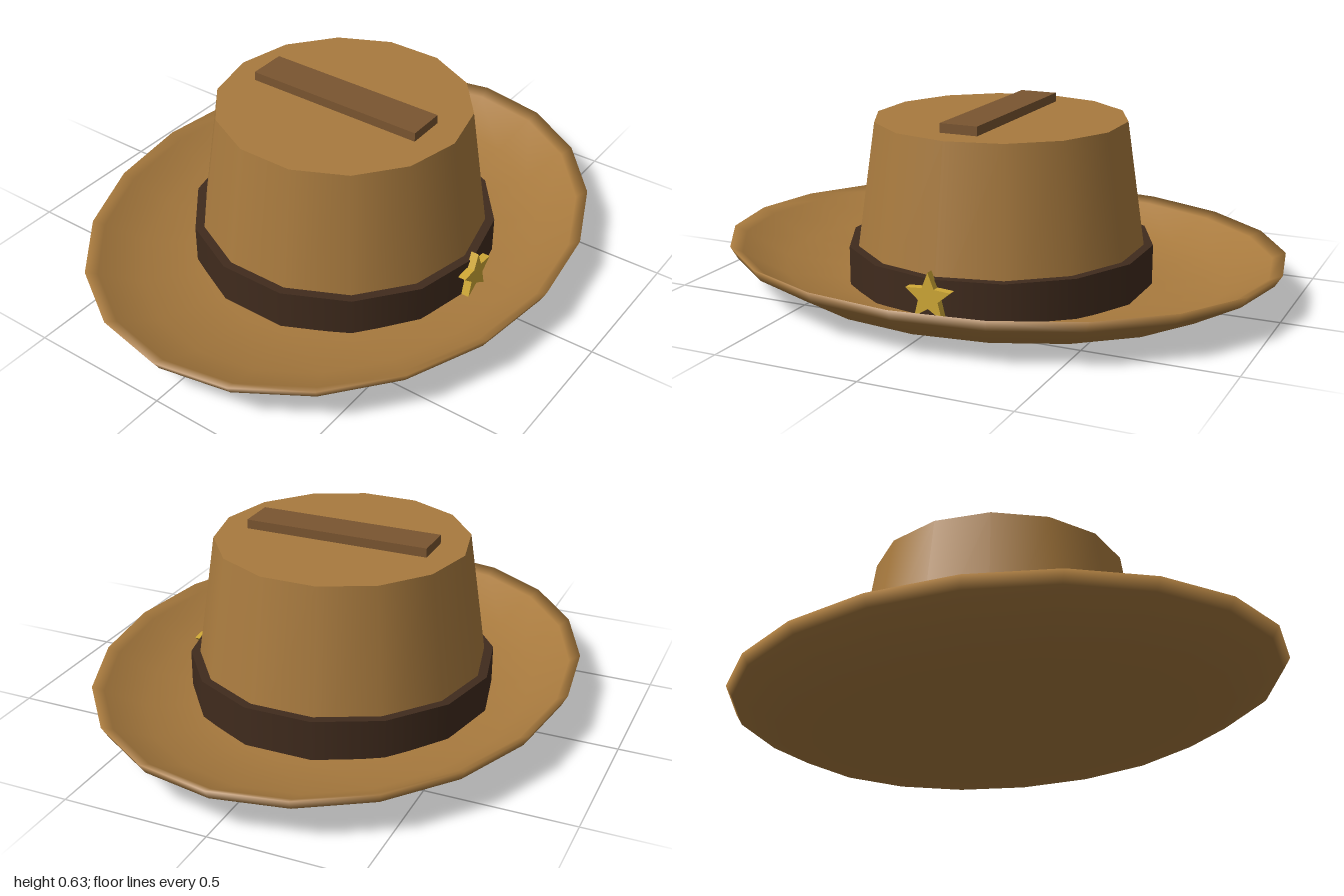
import * as THREE from 'three';

const material = (name, color) => {
  const m = new THREE.MeshStandardMaterial({ color });
  m.name = name;
  return m;
};

export function createModel() {
  const felt = material('tan felt', 0xa87a3e);
  const crease = material('brown crease', 0x7a5530);
  const leather = material('dark leather', 0x402b1d);
  const gold = material('gold', 0xd0a936);

  const group = new THREE.Group();
  group.name = 'hat';
  const add = (name, geometry, mat) => {
    const mesh = new THREE.Mesh(geometry, mat);
    mesh.name = name;
    group.add(mesh);
    return mesh;
  };
  // Fourteen-sided round part between two heights, with corners on the x axis
  const round = (rTop, rBottom, y0, y1) =>
    new THREE.CylinderGeometry(rTop, rBottom, y1 - y0, 14, 1, false, Math.PI / 2)
      .translate(0, (y0 + y1) / 2, 0);

  // Oval brim: underside, upturned rim, then the upper surface back to the centre
  const brimProfile = [
    [0, 0], [0.55, 0], [0.81, 0.03], [0.975, 0.12], [1, 0.16],
    [0.955, 0.14], [0.8, 0.06], [0.55, 0.03], [0, 0.03],
  ].map(([r, y]) => new THREE.Vector2(r, y));
  add('brim', new THREE.LatheGeometry(brimProfile, 20), felt).scale.x = 0.818;

  // Tapered crown, the band around its foot and the ridge on top
  add('crown', round(0.44, 0.525, 0.02, 0.6), felt);
  add('band', round(0.535, 0.535, 0.02, 0.17), leather);
  add('crownRidge', new THREE.BoxGeometry(0.66, 0.06, 0.135).translate(0, 0.602, 0), crease);

  // Five-pointed star on the left of the band
  const star = new THREE.Shape();
  for (let i = 0; i < 10; i++) {
    const r = i % 2 ? 0.037 : 0.084;
    const a = Math.PI / 2 + (i * Math.PI) / 5;
    star[i ? 'lineTo' : 'moveTo'](r * Math.cos(a), r * Math.sin(a));
  }
  star.closePath();
  const badge = new THREE.ExtrudeGeometry(star, { depth: 0.028, bevelEnabled: false });
  badge.rotateY(Math.PI / 2).translate(0.528, 0.115, 0);
  add('starBadge', badge, gold);

  return group;
}
